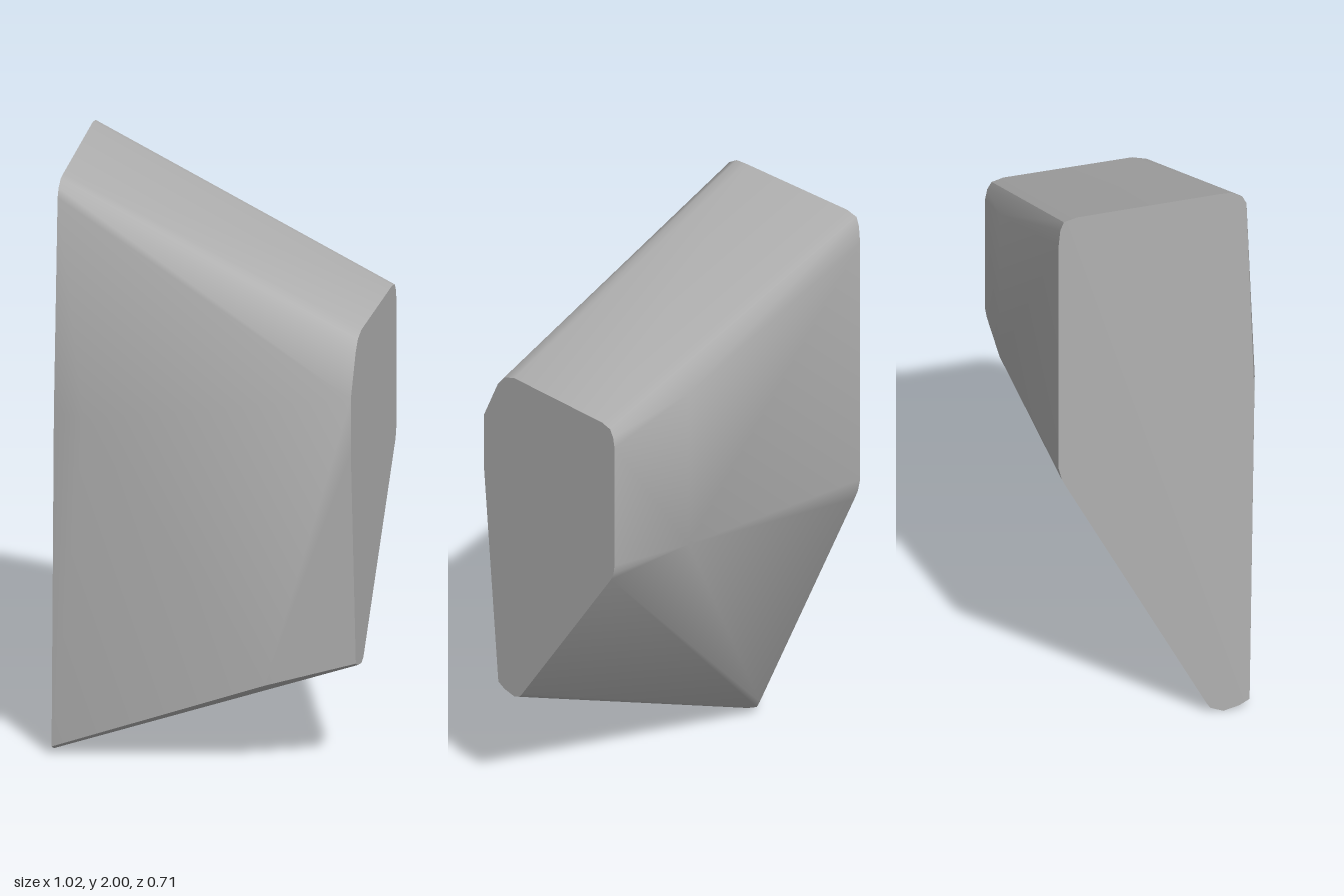
import * as THREE from 'three';
import { ConvexGeometry } from 'three/addons/geometries/ConvexGeometry.js';
import { toCreasedNormals } from 'three/addons/utils/BufferGeometryUtils.js';

export function createModel() {
  const group = new THREE.Group();
  const grey = new THREE.MeshStandardMaterial({ color: 0xb0b0b0 });
  grey.name = 'stone grey';

  // Cross-sections as [z, y], from the bottom round the back to the front
  const tallEnd = [
    [0.30, 0.03], [0.265, 0.012], [0.21, 0], [0.165, 0.02], [0.15, 0.045],
    [-0.325, 0.96], [-0.342, 0.995], [-0.353, 1.04], [-0.353, 1.9], [-0.347, 1.96],
    [-0.335, 1.99], [-0.29, 2], [0.2, 1.993], [0.245, 1.99], [0.28, 1.97], [0.295, 1.94],
    [0.32, 1.2],
  ];
  const shortEnd = [
    [0.28, 0.395], [0.25, 0.38], [0.20, 0.37], [0.175, 0.378], [0.16, 0.395],
    [-0.285, 0.975], [-0.297, 1.0], [-0.302, 1.03], [-0.302, 1.46], [-0.295, 1.495],
    [-0.28, 1.52], [-0.24, 1.53], [0.20, 1.53], [0.25, 1.515], [0.282, 1.48],
    [0.353, 1.34], [0.353, 1.16],
  ];

  // The tall end leans in slightly toward its top front corner
  const tallX = (z, y) => -0.51 + 0.032 * Math.max(0, z - 0.3 + 0.315 * y);
  const points = [
    ...tallEnd.map(([z, y]) => new THREE.Vector3(tallX(z, y), y, z)),
    ...shortEnd.map(([z, y]) => new THREE.Vector3(0.51, y, z)),
    // Corners of the flat front facet
    new THREE.Vector3(-0.39, 1.2, 0.353),
    new THREE.Vector3(0.22, 0.32, 0.353),
    // Bend in the back face
    new THREE.Vector3(0.22, 1.03, -0.339),
    new THREE.Vector3(0.22, 1.58, -0.339),
  ];

  // Rounded side edges, sharp rims at both ends
  const block = new THREE.Mesh(toCreasedNormals(new ConvexGeometry(points), 0.7), grey);
  block.name = 'taperedBlock';
  group.add(block);
  return group;
}
